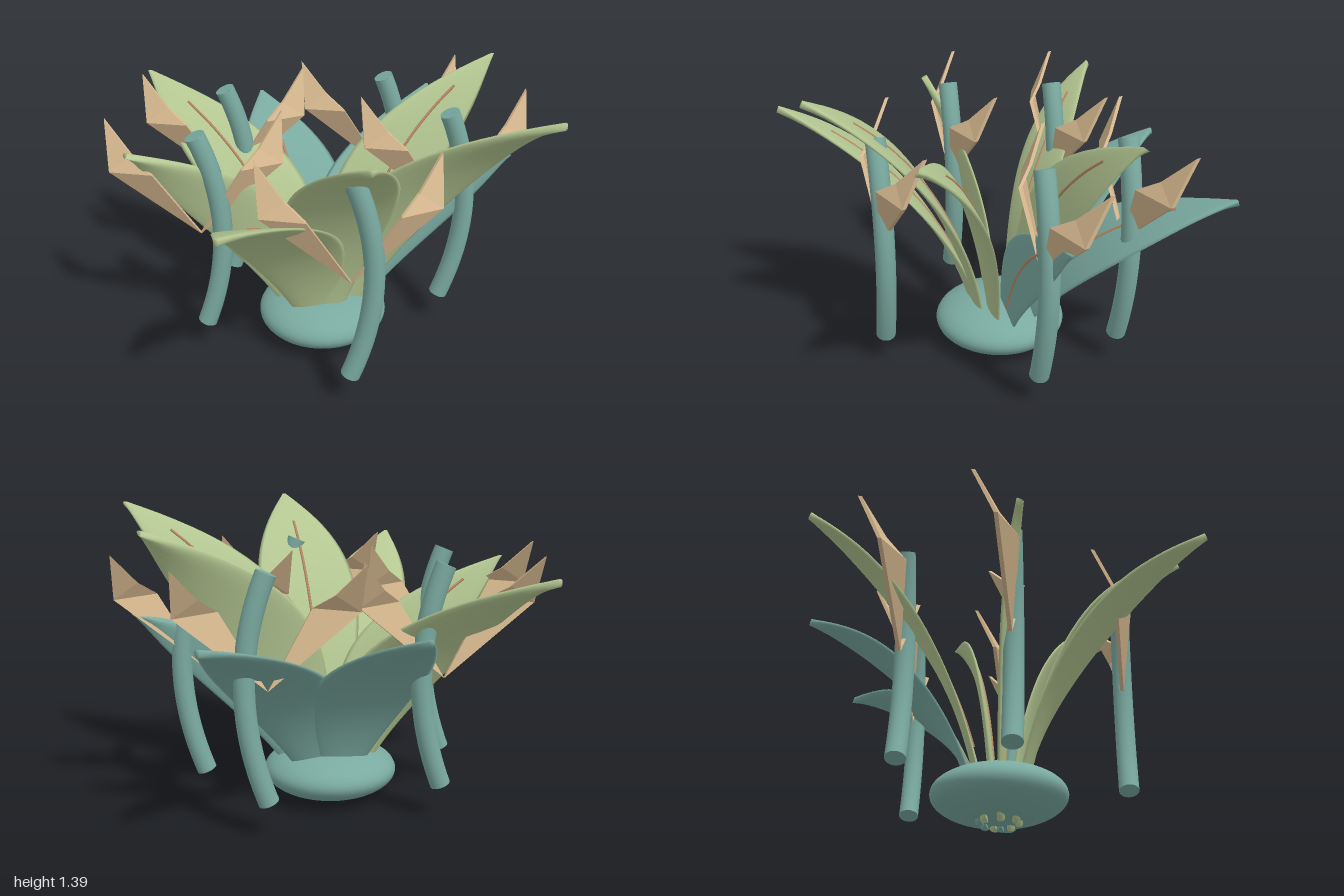
import * as THREE from 'three';

const mat = (name, color) => {
  const m = new THREE.MeshStandardMaterial({ color });
  m.name = name;
  return m;
};

export function createModel() {
  const root = new THREE.Group();
  const green = mat('leaf green', 0xb4c792);
  const teal = mat('teal', 0x7aaaa0);
  const tan = mat('tan', 0xd6b88f);
  const brown = mat('rib brown', 0xb98a66);

  const add = (name, geometry, material, parent = root) => {
    const mesh = new THREE.Mesh(geometry, material);
    mesh.name = name;
    parent.add(mesh);
    return mesh;
  };

  // Flattened bulb that holds the leaves
  const bulb = add('bulb', new THREE.SphereGeometry(1, 40, 24), teal);
  bulb.scale.set(0.32, 0.128, 0.32);
  bulb.position.set(-0.01, 0.138, -0.045);

  // Arching leaves: lens sections, always widened along x, swept along a spine
  const ROWS = 28, RING = 16, THICK = 0.017, CUP = 0.008;
  function leaf(tip, material) {
    const centre = new THREE.Vector3(-0.01, 0, -0.045);
    const out = new THREE.Vector3(tip[0], 0, tip[2]).sub(centre);
    const reach = out.length();
    out.normalize();
    const base = centre.clone().addScaledVector(out, 0.09).setY(0.004);
    const bend = base.clone().addScaledVector(out, 0.14 * reach).setY(0.75 * tip[1]);
    const spine = new THREE.QuadraticBezierCurve3(base, bend, new THREE.Vector3(...tip));
    const side = Math.sign(out.z);
    const frame = (t) => {
      const T = spine.getTangent(t);
      return { p: spine.getPoint(t), n: new THREE.Vector3(0, side * T.z, -side * T.y).normalize() };
    };

    const pos = [], idx = [];
    for (let i = 0; i <= ROWS; i++) {
      const t = i / ROWS, { p, n } = frame(t);
      const w = 0.225 * Math.sin(Math.PI * Math.pow(t, 1.2)) + 0.03 * (1 - t) + 0.01;
      for (let j = 0; j < RING; j++) {
        const u = (j / RING) * Math.PI * 2, c = Math.cos(u);
        const q = p.clone().addScaledVector(n, THICK * Math.sin(u) + CUP * c * c);
        pos.push(q.x + side * w * c, q.y, q.z);
        if (i < ROWS) {
          const a = i * RING + j, b = i * RING + (j + 1) % RING;
          idx.push(a, b, a + RING, b, b + RING, a + RING);
        }
      }
    }
    const last = ROWS * RING;
    for (let j = 1; j < RING - 1; j++) idx.push(0, j + 1, j, last, last + j, last + j + 1);
    const g = new THREE.BufferGeometry();
    g.setAttribute('position', new THREE.Float32BufferAttribute(pos, 3));
    g.setIndex(idx);
    g.computeVertexNormals();

    const group = new THREE.Group();
    group.name = 'leaf';
    add('blade', g, material, group);

    // Midrib on the inner face
    const pts = [];
    for (let k = 0; k <= 8; k++) {
      const { p, n } = frame(0.2 + 0.64 * k / 8);
      pts.push(p.addScaledVector(n, THICK));
    }
    add('midrib', new THREE.TubeGeometry(new THREE.CatmullRomCurve3(pts), 24, 0.007, 6), brown, group);
    root.add(group);
  }
  leaf([0.07, 1.38, 0.86], green);
  leaf([0.92, 1.38, 0.55], green);
  leaf([-0.52, 1.16, 0.92], green);
  leaf([-0.9, 1.13, 0.11], green);
  leaf([-0.82, 1.15, -0.8], green);
  leaf([0.86, 1.34, -0.37], green);
  leaf([-0.24, 0.95, -0.93], teal);
  leaf([0.67, 0.95, -0.92], teal);
  leaf([0.9, 0.94, -0.07], teal);

  // Folded bract plate: flat facets with a little thickness
  const outline = [[0, 0.675, 0], [-0.2, 1.02, 0.045], [-0.285, 1.085, -0.03],
    [-0.4, 1.225, -0.125], [-0.395, 1.01, -0.03]];
  const n = outline.length;
  const verts = [...outline, ...outline.map(([x, y, z]) => [x, y + 0.003, z - 0.018])].flat();
  const faces = [];
  for (const [a, b, c] of [[0, 1, 4], [1, 2, 4], [2, 3, 4]]) faces.push(a, b, c, a + n, c + n, b + n);
  for (let i = 0; i < n; i++) {
    const k = (i + 1) % n;
    faces.push(i, i + n, k, k, i + n, k + n);
  }
  const indexed = new THREE.BufferGeometry();
  indexed.setAttribute('position', new THREE.Float32BufferAttribute(verts, 3));
  indexed.setIndex(faces);
  const bractGeo = indexed.toNonIndexed();
  bractGeo.computeVertexNormals();

  // Bowed stalk with end caps
  const R = 0.047;
  const bow = new THREE.QuadraticBezierCurve3(
    new THREE.Vector3(0, 0.17, 0), new THREE.Vector3(0.2, 0.7, 0), new THREE.Vector3(0, 1.185, 0));
  const stalkGeo = new THREE.TubeGeometry(bow, 24, R, 20);
  const capGeo = new THREE.CircleGeometry(R, 20);

  // Stalks, each carrying a mirrored pair of bracts
  for (const [x, z] of [[0.05, 0.55], [-0.595, 0.055], [0.59, -0.05], [-0.445, -0.45], [0.355, -0.525]]) {
    const plant = new THREE.Group();
    plant.name = 'stalkWithBracts';
    plant.position.set(x, 0, z);
    add('stalk', stalkGeo, teal, plant);
    for (const t of [0, 1]) {
      const cap = add('stalkEnd', capGeo, teal, plant);
      cap.position.copy(bow.getPoint(t));
      const dir = bow.getTangent(t).multiplyScalar(t ? 1 : -1);
      cap.quaternion.setFromUnitVectors(new THREE.Vector3(0, 0, 1), dir);
    }
    for (const s of [1, -1]) add(s > 0 ? 'rightBract' : 'leftBract', bractGeo, tan, plant).scale.x = s;
    root.add(plant);
  }
  return root;
}
